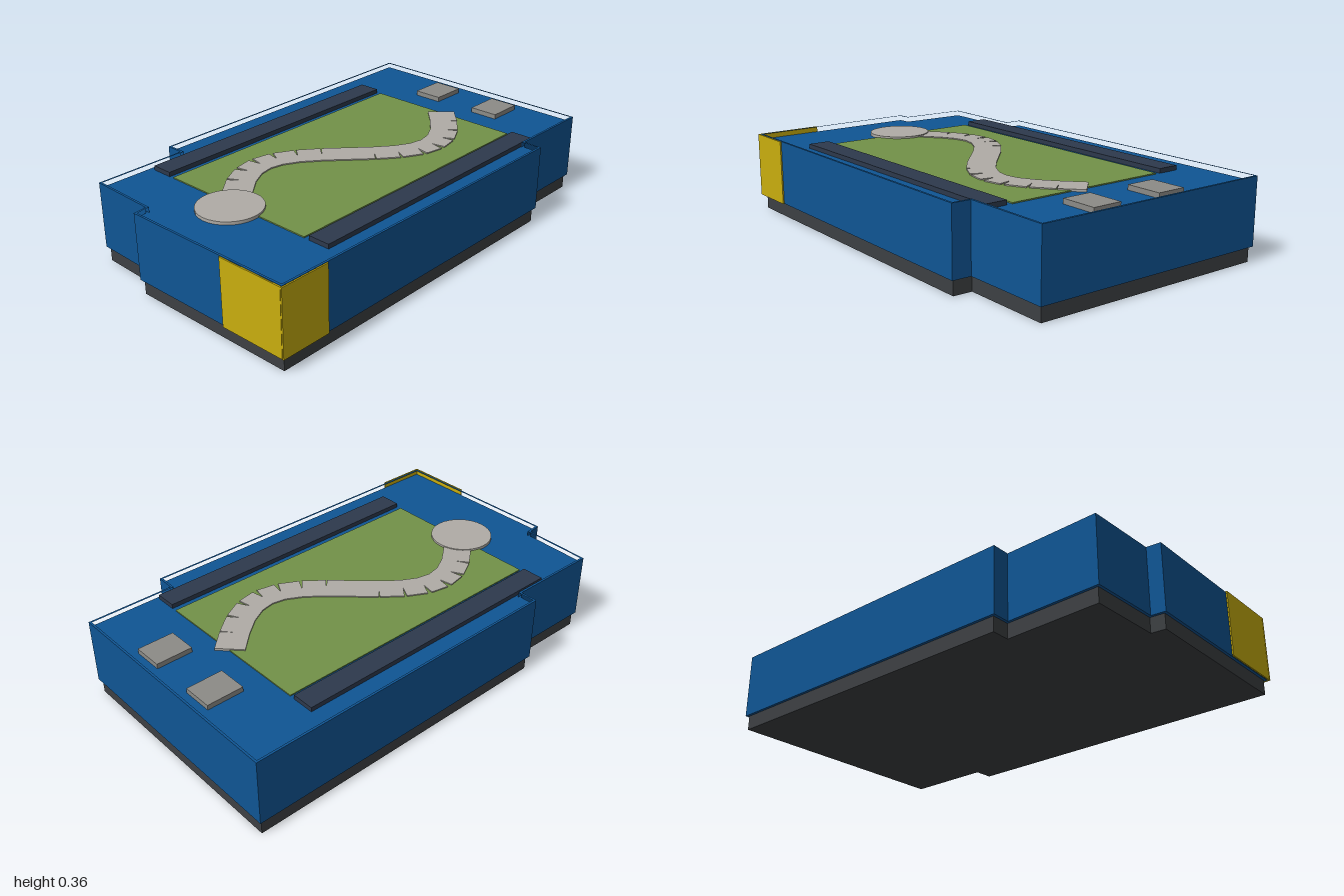
import * as THREE from 'three';

const mat = (name, color, double) => {
  const m = new THREE.MeshStandardMaterial({ color });
  m.name = name;
  if (double) m.side = THREE.DoubleSide;
  return m;
};

// Stepped footprint, listed clockwise as (x, -z)
const outline = [
  [-0.605, 1.0], [0.525, 0.99], [0.521, 0.59], [0.607, 0.587], [0.587, -0.986],
  [-0.213, -0.992], [-0.22, -0.93], [-0.535, -0.92], [-0.53, -0.498], [-0.61, -0.498],
].map(([x, y]) => new THREE.Vector2(x, y));

// Shrinks the footprint evenly by d
function inset(points, d) {
  const n = points.length;
  const normal = (a, b) => new THREE.Vector2(b.y - a.y, a.x - b.x).normalize();
  return points.map((p, i) => {
    const n1 = normal(points[(i + n - 1) % n], p);
    const n2 = normal(p, points[(i + 1) % n]);
    return n1.clone().add(n2).multiplyScalar(d / (1 + n1.dot(n2))).add(p);
  });
}

// Vertical prism of a footprint between two heights
function prism(points, y0, y1, hole) {
  const shape = new THREE.Shape(points);
  if (hole) shape.holes.push(new THREE.Path(hole));
  return new THREE.ExtrudeGeometry(shape, { depth: y1 - y0, bevelEnabled: false })
    .rotateX(-Math.PI / 2).translate(0, y0, 0);
}

export function createModel() {
  const group = new THREE.Group();
  group.name = 'building';
  const blue = mat('wall blue', 0x0f5594);
  const charcoal = mat('plinth charcoal', 0x3d4043);
  const yellow = mat('corner yellow', 0xc9ae0e);
  const green = mat('lawn green', 0x729248);
  const stone = mat('path stone', 0xb0aca6);
  const grey = mat('vent grey', 0x8c8b87);
  const navy = mat('panel navy', 0x2d394c);

  const add = (name, geometry, material, parent = group) => {
    const mesh = new THREE.Mesh(geometry, material);
    mesh.name = name;
    parent.add(mesh);
    return mesh;
  };
  const BASE = 0.066, ROOF = 0.338, TOP = 0.363;

  // Plinth, main block and parapet
  add('plinth', prism(inset(outline, 0.012), 0, BASE), charcoal);
  add('mainBlock', prism(outline, BASE, ROOF), blue);
  add('parapet', prism(outline, ROOF, TOP, inset(outline, 0.01)), blue);

  // Yellow cladding on the front left corner
  const wallH = TOP - BASE, wallY = (TOP + BASE) / 2;
  const front = add('cornerFront', new THREE.BoxGeometry(0.307, wallH, 0.006), yellow);
  front.position.set(0.434, wallY, 0.993);
  front.rotation.y = 0.0075;
  const side = add('cornerSide', new THREE.BoxGeometry(0.006, wallH, 0.23), yellow);
  side.position.set(0.594, wallY, 0.88);
  side.rotation.y = -0.0127;

  // Roof garden
  const roof = new THREE.Group();
  roof.name = 'roofGarden';
  roof.position.y = ROOF;
  roof.rotation.y = -0.004;
  group.add(roof);
  const slab = (name, w, h, d, x, z, material) => {
    const mesh = add(name, new THREE.BoxGeometry(w, h, d), material, roof);
    mesh.position.set(x, h / 2, z);
    return mesh;
  };
  slab('lawn', 0.762, 0.005, 1.322, -0.001, 0, green);
  for (const s of [-1, 1]) {
    slab('sidePanel', 0.1, 0.02, 1.322, s * 0.455, 0, navy);
    slab('roofVent', 0.136, 0.022, 0.165, s * 0.168 - 0.004, -0.857, grey);
  }

  // Winding path of straight paving slabs
  const segments = 16, half = 0.66;
  const pathPoint = (i) => {
    const z = -half + (2 * half * i) / segments;
    return new THREE.Vector2(-0.205 * Math.sin((z * Math.PI) / half), z);
  };
  for (let i = 0; i < segments; i++) {
    const a = pathPoint(i), b = pathPoint(i + 1);
    const paving = slab('paving', 0.125, 0.01, a.distanceTo(b), (a.x + b.x) / 2, (a.y + b.y) / 2, stone);
    paving.rotation.y = Math.atan2(b.x - a.x, b.y - a.y);
  }

  // Round terrace at the end of the path
  const terrace = add('terrace', new THREE.CylinderGeometry(0.14, 0.14, 0.014, 32), stone, roof);
  terrace.position.set(-0.003, 0.007, 0.685);

  return group;
}
